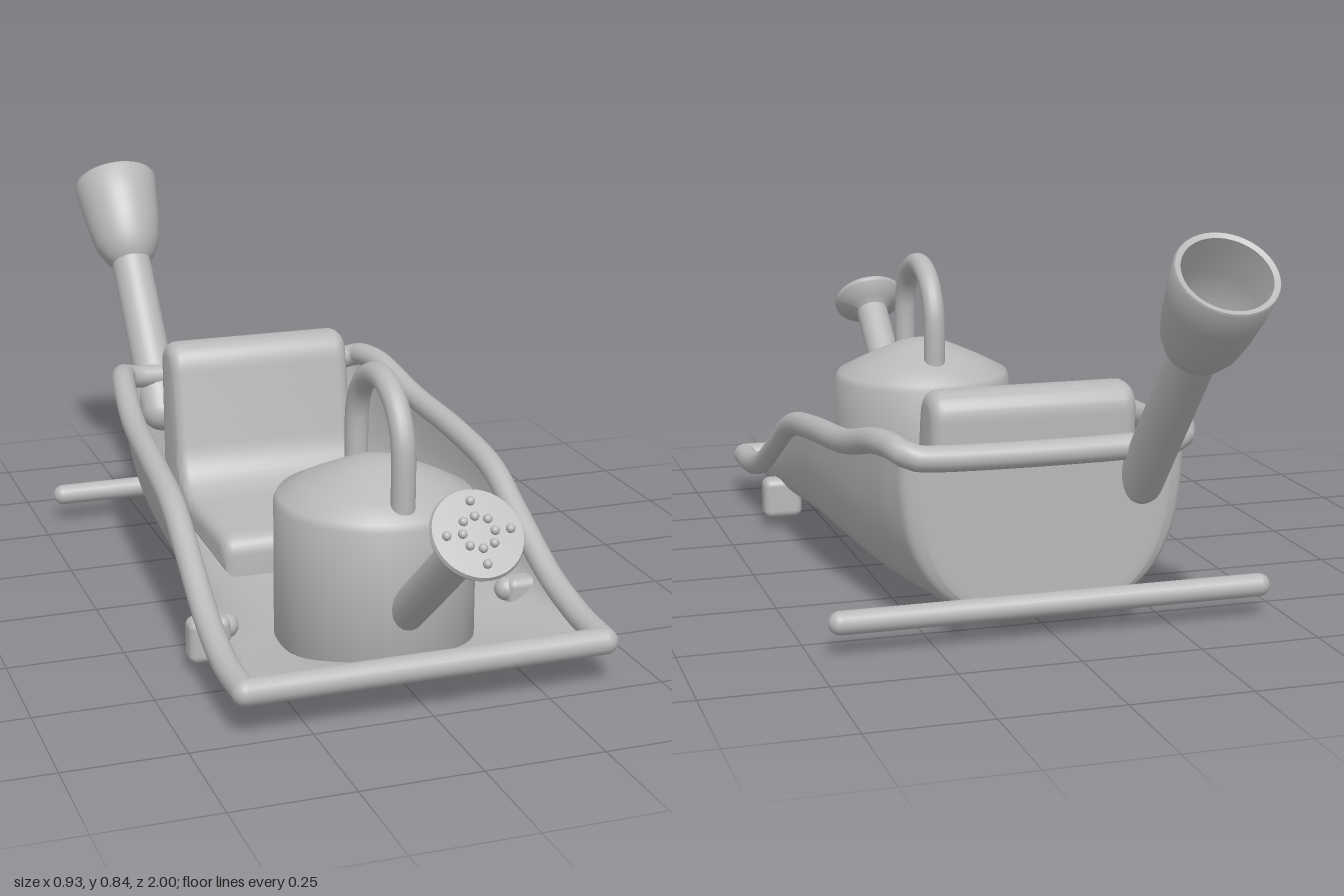
import * as THREE from 'three';
import { toCreasedNormals } from 'three/addons/utils/BufferGeometryUtils.js';
import { RoundedBoxGeometry } from 'three/addons/geometries/RoundedBoxGeometry.js';

const V = (x, y, z) => new THREE.Vector3(x, y, z);

export function createModel() {
  const model = new THREE.Group();
  const grey = new THREE.MeshStandardMaterial({ color: 0xb8b8b8, side: THREE.DoubleSide });
  grey.name = 'plain grey';

  const add = (name, geometry, x = 0, y = 0, z = 0, parent = model) => {
    const mesh = new THREE.Mesh(geometry, grey);
    mesh.name = name;
    mesh.position.set(x, y, z);
    parent.add(mesh);
    return mesh;
  };
  const tube = (name, points, radius, segments = 40) =>
    add(name, new THREE.TubeGeometry(new THREE.CatmullRomCurve3(points), segments, radius, 16));
  const bar = (name, halfLength, radius, y, z) => {
    const mesh = add(name, new THREE.CapsuleGeometry(radius, 2 * (halfLength - radius), 8, 20), 0, y, z);
    mesh.rotation.z = Math.PI / 2;
  };
  const lathe = (profile) => toCreasedNormals(
    new THREE.LatheGeometry(profile.map(([r, y]) => new THREE.Vector2(r, y)), 48), 0.7);

  // Tub stations: z, half width, rim height, keel height
  const stations = [
    [0.725, 0.38, 0.097, 0.085], [0.6, 0.382, 0.105, 0.065], [0.46, 0.378, 0.145, 0.036],
    [0.3, 0.372, 0.23, 0.014], [0.17, 0.368, 0.295, 0.004], [-0.02, 0.36, 0.325, 0],
    [-0.235, 0.345, 0.345, 0.003], [-0.4, 0.325, 0.382, 0.01], [-0.48, 0.308, 0.387, 0.014],
    [-0.515, 0.295, 0.38, 0.02], [-0.53, 0.265, 0.37, 0.03],
  ];
  const smooth = (pts) => new THREE.CatmullRomCurve3(pts, false, 'catmullrom');
  const rimCurve = smooth(stations.map(([z, w, top]) => V(w, top, z)));
  const keelCurve = smooth(stations.map(([z, , , keel]) => V(0, keel, z)));

  // Tub: rounded trough sections, closed at the back by shrinking rings
  const rings = [];
  for (let i = 0; i <= 50; i++) rings.push([i / 50, 1]);
  rings.push([1, 0.96], [1, 0.9], [1, 0.5], [1, 0]);
  const around = 40, position = [], index = [];
  rings.forEach(([t, s], i) => {
    const rim = rimCurve.getPoint(t), depth = rim.y - keelCurve.getPoint(t).y;
    for (let j = 0; j <= around; j++) {
      const a = Math.PI * j / around, c = Math.cos(a);
      const x = Math.sign(c) * Math.pow(Math.abs(c), 2 / 2.8);
      const y = Math.pow(Math.abs(Math.sin(a)), 2 / 2.8);
      position.push(rim.x * x * s, rim.y - depth * y * s, rim.z);
      if (i && j) {
        const d = i * (around + 1) + j, b = d - around - 1;
        index.push(b - 1, b, d - 1, b, d, d - 1);
      }
    }
  });
  const tub = new THREE.BufferGeometry();
  tub.setAttribute('position', new THREE.Float32BufferAttribute(position, 3));
  tub.setIndex(index);
  tub.computeVertexNormals();
  add('tub', tub);

  // Rolled rim
  const side = rimCurve.getPoints(40);
  const mirrored = side.map((p) => V(-p.x, p.y, p.z)).reverse();
  tube('rim', [...side, ...mirrored], 0.027, 160);
  bar('frontRim', 0.407, 0.028, 0.097, 0.725);

  // Rear axle with struts, front feet with inner studs
  bar('rearAxle', 0.465, 0.024, 0.068, -0.588);
  for (const s of [1, -1]) {
    tube('axleStrut', [V(s * 0.18, 0.02, -0.44), V(s * 0.18, 0.026, -0.5), V(s * 0.18, 0.065, -0.588)], 0.016, 12);
    add('frontFoot', new RoundedBoxGeometry(0.09, 0.095, 0.055, 4, 0.018), s * 0.355, 0.07, 0.39);
    add('footStud', new THREE.SphereGeometry(0.026, 16, 12), s * 0.315, 0.09, 0.385);
  }

  // Seat with reclined back, extruded sideways
  const seat = new THREE.Shape();
  seat.moveTo(-0.46, 0.075);
  seat.lineTo(0.06, 0.06);
  seat.lineTo(0.06, 0.1);
  seat.quadraticCurveTo(0.06, 0.15, 0.01, 0.15);
  seat.lineTo(-0.2, 0.15);
  seat.quadraticCurveTo(-0.3, 0.15, -0.32, 0.25);
  seat.lineTo(-0.35, 0.42);
  seat.quadraticCurveTo(-0.36, 0.48, -0.41, 0.48);
  seat.quadraticCurveTo(-0.47, 0.48, -0.47, 0.42);
  const seatGeometry = new THREE.ExtrudeGeometry(seat, {
    depth: 0.38, bevelSize: 0.03, bevelThickness: 0.03, bevelOffset: -0.03, bevelSegments: 5, curveSegments: 10,
  });
  seatGeometry.translate(0, 0, -0.19).rotateY(-Math.PI / 2);
  add('seat', toCreasedNormals(seatGeometry, 0.7));

  // Watering can body and handles
  add('canBody', lathe([[0, 0.042], [0.205, 0.042], [0.21, 0.05], [0.21, 0.34], [0.203, 0.355],
    [0.15, 0.382], [0.1, 0.405], [0.06, 0.422], [0.03, 0.43], [0, 0.432]]), 0, 0, 0.412);
  const arch = [V(0, 0.36, 0.57)];
  for (let i = 0; i <= 12; i++) {
    const a = Math.PI * i / 12;
    arch.push(V(0, 0.475 + 0.135 * Math.sin(a), 0.435 + 0.135 * Math.cos(a)));
  }
  arch.push(V(0, 0.36, 0.3));
  tube('canTopHandle', arch, 0.025);
  tube('canBackHandle', [V(0, 0.33, 0.22), V(0, 0.3, 0.15), V(0, 0.24, 0.115),
    V(0, 0.17, 0.115), V(0, 0.125, 0.15), V(0, 0.12, 0.22)], 0.022);

  // Spout, flared rose and its nozzles
  tube('spout', [V(0, 0.135, 0.565), V(0, 0.275, 0.735), V(0, 0.425, 0.915)], 0.04, 8);
  const rose = new THREE.Group();
  rose.name = 'rose';
  rose.position.set(0, 0.45, 0.942);
  rose.rotation.x = THREE.MathUtils.degToRad(47);
  model.add(rose);
  add('roseHead', lathe([[0.038, -0.05], [0.055, -0.035], [0.088, -0.016], [0.091, -0.008],
    [0.088, 0], [0, 0.004]]), 0, 0, 0, rose);
  const nozzle = new THREE.SphereGeometry(0.009, 12, 8);
  for (let i = 0; i < 8; i++) {
    const a = Math.PI * i / 4;
    for (const r of i % 2 ? [0.034] : [0.032, 0.063])
      add('nozzle', nozzle, r * Math.cos(a), 0.005, r * Math.sin(a), rose);
  }

  // Rear pipe ending in a hollow cup
  const pipe = new THREE.Group();
  pipe.name = 'rearPipe';
  pipe.position.set(-0.208, 0.604, -0.78);
  pipe.rotation.x = THREE.MathUtils.degToRad(-40.5);
  model.add(pipe);
  add('pipeTube', new THREE.CapsuleGeometry(0.048, 0.43, 8, 32), 0, -0.205, 0, pipe);
  add('pipeCup', lathe([[0, -0.012], [0.048, -0.01], [0.062, 0.005], [0.079, 0.04], [0.089, 0.09],
    [0.096, 0.15], [0.102, 0.22], [0.099, 0.225], [0.088, 0.222], [0.08, 0.14], [0.07, 0.08],
    [0.05, 0.045], [0, 0.04]]), 0, 0, 0, pipe);
  add('cupBulb', new THREE.SphereGeometry(0.042, 24, 16), 0, 0.07, 0, pipe);

  return model;
}
